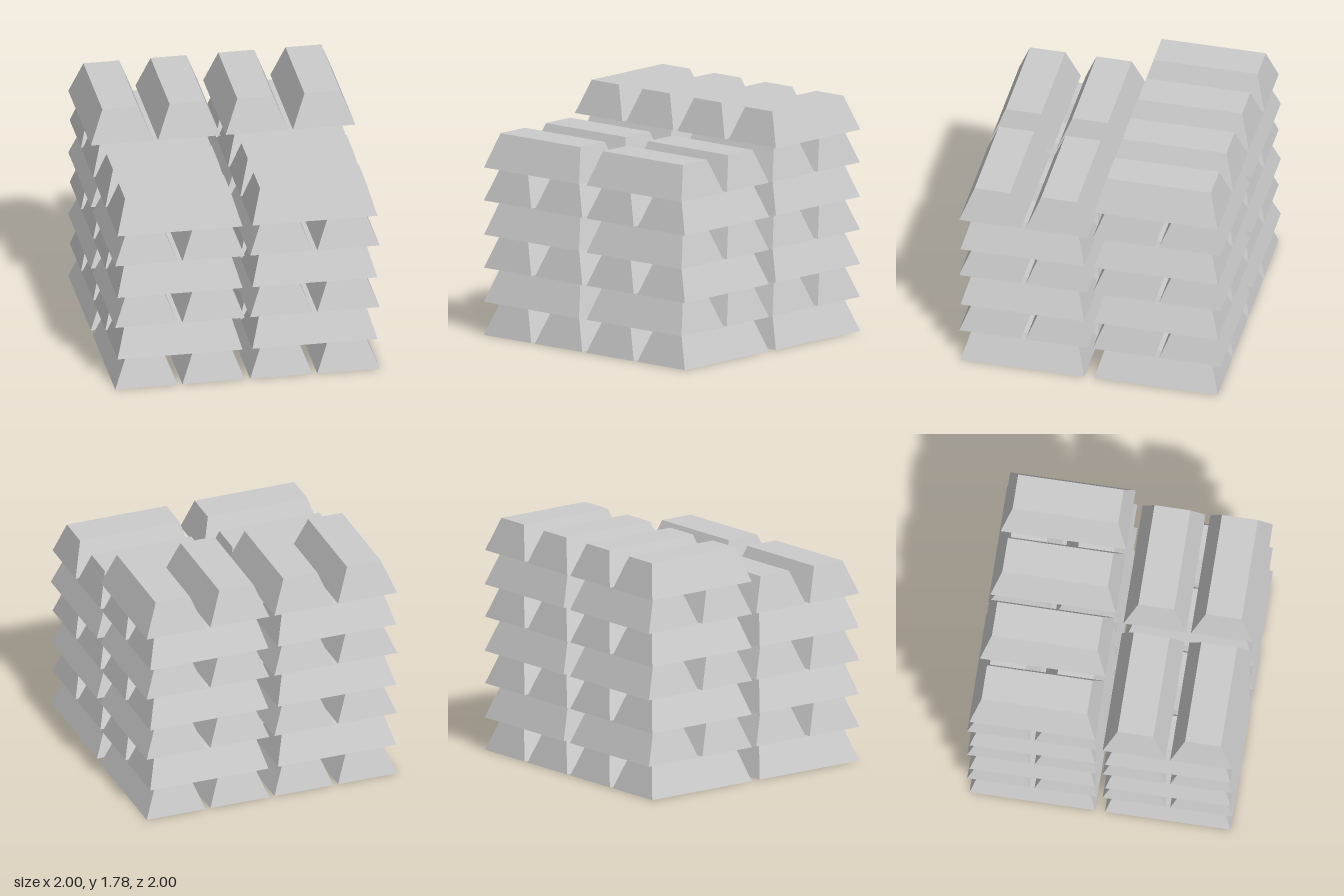
import * as THREE from 'three';

const LAYER = 0.255;                                   // bar height
const BASE_W = 0.472, BASE_L = 0.945;                  // footprint of a bar
const TOP_W = 0.27, TOP_L = 0.795;                     // its smaller top face
const STACK = 0.51, PAIR = 0.254;                      // stack centre, bar offset within a layer
const SHIFT = 0.0025;                                  // slight lengthwise offset of the bars

// Ingot: a box lying along z, tapered towards the top, standing on y = 0
function ingotGeometry() {
  const geo = new THREE.BoxGeometry(BASE_W, LAYER, BASE_L);
  geo.translate(0, LAYER / 2, 0);
  const p = geo.attributes.position;
  for (let i = 0; i < p.count; i++) {
    if (p.getY(i) > LAYER / 2) {
      p.setX(i, Math.sign(p.getX(i)) * TOP_W / 2);
      p.setZ(i, Math.sign(p.getZ(i)) * TOP_L / 2);
    }
  }
  geo.computeVertexNormals();
  return geo;
}

export function createModel() {
  const model = new THREE.Group();
  model.name = 'ingotPile';
  const geo = ingotGeometry();
  const material = new THREE.MeshStandardMaterial({ color: 0xcccccc, flatShading: true });

  // Four stacks; the back pair is one layer taller
  for (const sz of [1, -1]) {
    for (const sx of [1, -1]) {
      const stack = new THREE.Group();
      stack.name = (sz > 0 ? 'front' : 'back') + (sx > 0 ? 'Left' : 'Right') + 'Stack';
      stack.position.set(sx * STACK, 0, sz * STACK);
      const layers = sz > 0 ? 6 : 7;

      // Two bars per layer, alternating direction
      for (let layer = 0; layer < layers; layer++) {
        const crosswise = layer % 2 === 1;
        for (const side of [-1, 1]) {
          const bar = new THREE.Mesh(geo, material);
          bar.name = 'ingot';
          if (crosswise) {
            bar.rotation.y = Math.PI / 2;
            bar.position.set(-SHIFT, layer * LAYER, side * PAIR);
          } else {
            bar.position.set(side * PAIR, layer * LAYER, SHIFT);
          }
          stack.add(bar);
        }
      }
      model.add(stack);
    }
  }
  return model;
}
